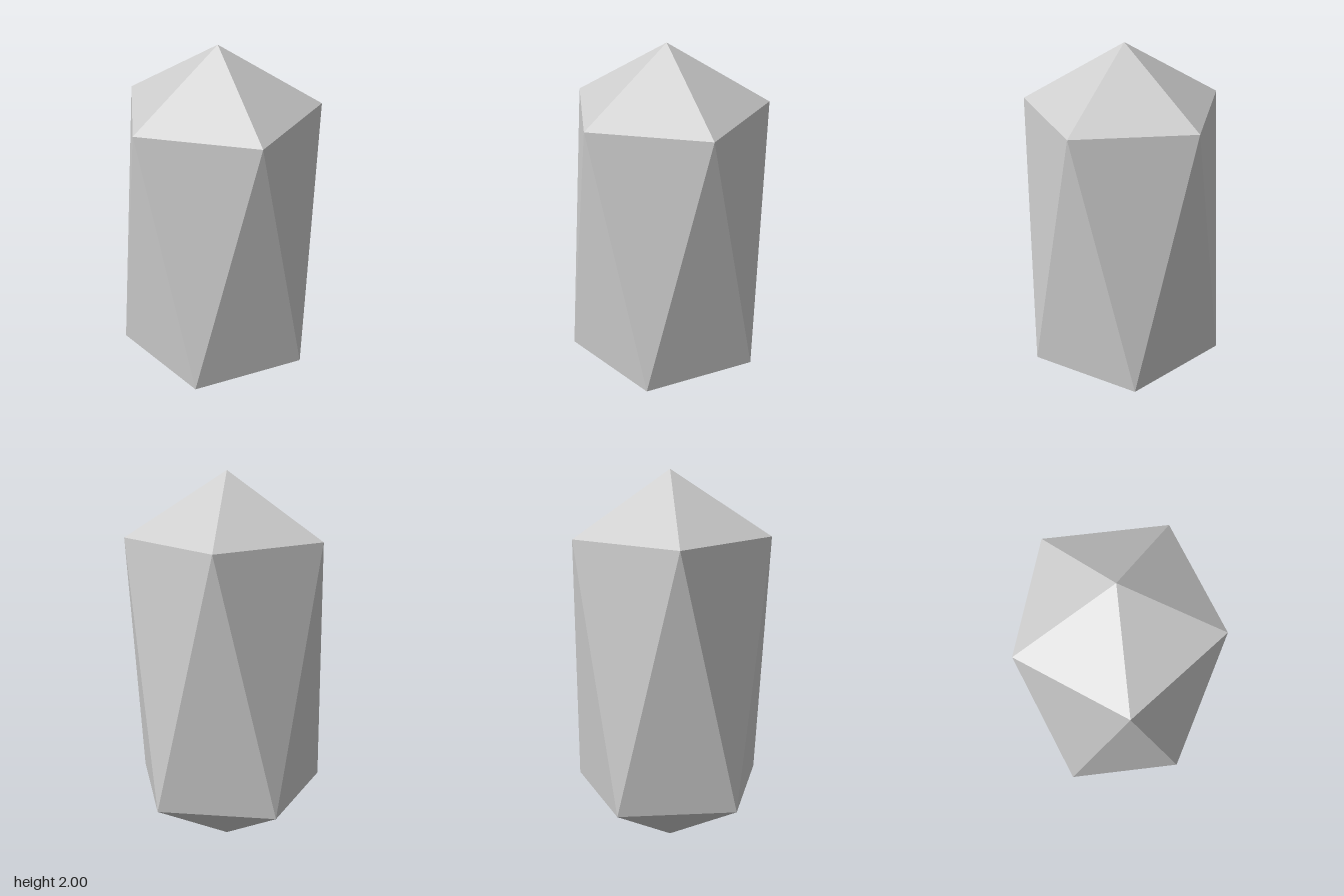
import * as THREE from 'three';

const SIDES = 5, RADIUS = 0.515, TOP = 2, UPPER = 1.683, LOWER = 0.322;

// One pentagon of the crystal, turned by the given angle
function ring(y, turn) {
  return Array.from({ length: SIDES }, (_, i) => {
    const a = turn + (i * 2 * Math.PI) / SIDES;
    return [RADIUS * Math.cos(a), y, RADIUS * Math.sin(a)];
  });
}

function crystalGeometry() {
  const apex = [0, TOP, 0], base = [0, 0, 0];
  const upper = ring(UPPER, 0);
  const lower = ring(LOWER, Math.PI / SIDES);
  const corners = [];
  for (let i = 0; i < SIDES; i++) {
    const j = (i + 1) % SIDES;
    corners.push(
      apex, upper[j], upper[i],      // top point
      upper[i], upper[j], lower[i],  // long facets, alternating
      lower[i], upper[j], lower[j],
      lower[i], lower[j], base       // bottom point
    );
  }
  const geometry = new THREE.BufferGeometry();
  geometry.setAttribute('position', new THREE.Float32BufferAttribute(corners.flat(), 3));
  geometry.computeVertexNormals();
  return geometry;
}

export function createModel() {
  const stone = new THREE.MeshStandardMaterial({ color: 0xcccccc, flatShading: true });
  stone.name = 'light grey stone';
  const crystal = new THREE.Mesh(crystalGeometry(), stone);
  crystal.name = 'crystal';
  const model = new THREE.Group();
  model.name = 'crystalModel';
  model.add(crystal);
  return model;
}
